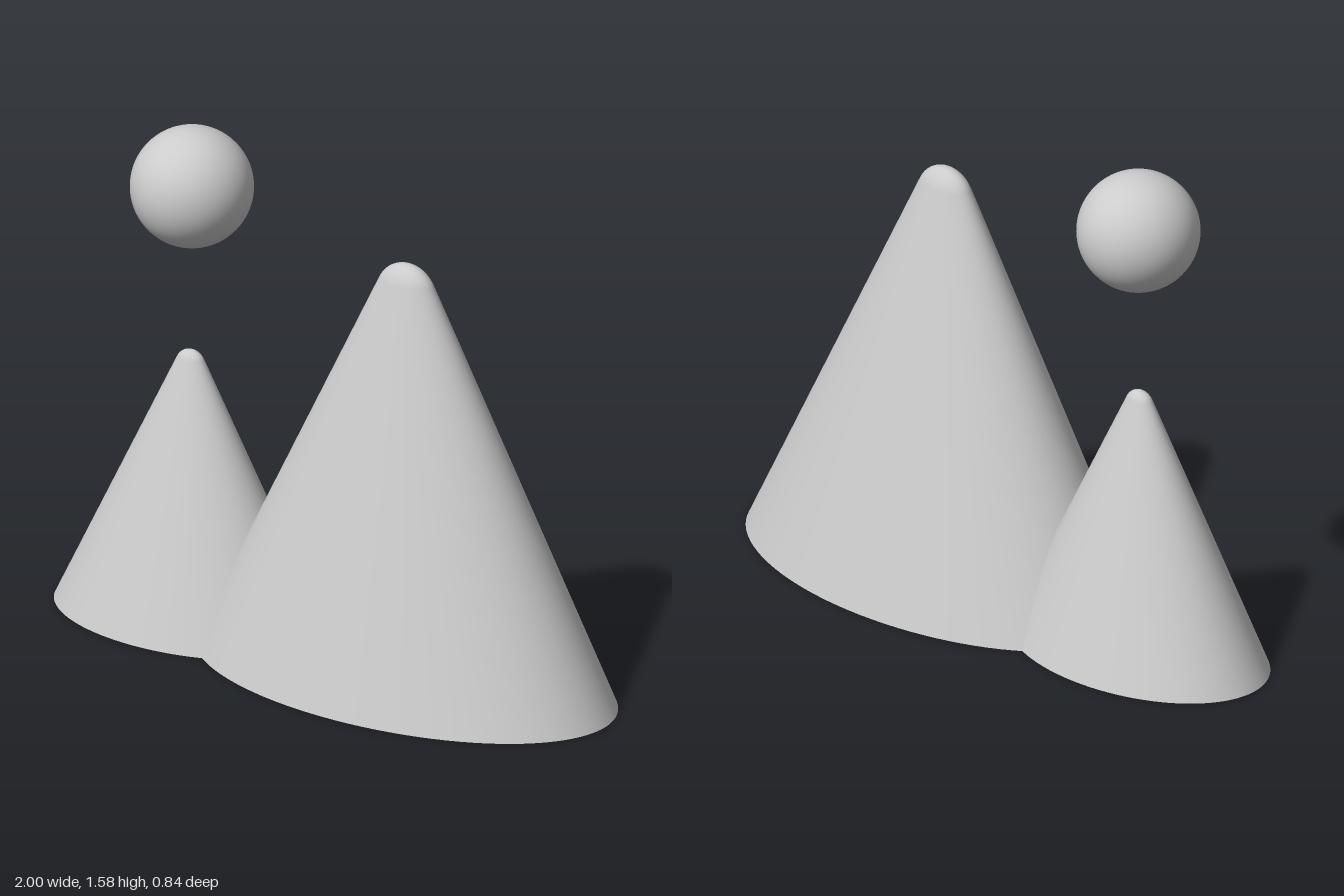
import * as THREE from 'three';

const material = new THREE.MeshStandardMaterial({ color: 0xcccccc });
const SLOPE = 0.498; // horizontal run per unit of height

function addMesh(parent, name, geometry) {
  const mesh = new THREE.Mesh(geometry, material);
  mesh.name = name;
  parent.add(mesh);
  return mesh;
}

// Elliptical cone with a rounded tip tangent to its sides
function createPeak(name, x, radiusX, radiusZ, height) {
  const peak = new THREE.Group();
  peak.name = name;
  peak.position.x = x;

  const slant = Math.atan(SLOPE);
  const tip = (radiusX / SLOPE - height) / (1 / Math.sin(slant) - 1);
  const profile = [new THREE.Vector2(radiusX, 0)];
  const steps = 12;
  for (let i = 0; i <= steps; i++) {
    const a = THREE.MathUtils.lerp(slant, Math.PI / 2, i / steps);
    const r = i === steps ? 0 : tip * Math.cos(a);
    profile.push(new THREE.Vector2(r, height - tip + tip * Math.sin(a)));
  }
  const flatten = radiusZ / radiusX;
  addMesh(peak, name + 'Slope', new THREE.LatheGeometry(profile, 96).scale(1, 1, flatten));

  // Flat underside
  const base = new THREE.CircleGeometry(radiusX, 96).rotateX(Math.PI / 2).scale(1, 1, flatten);
  addMesh(peak, name + 'Base', base);
  return peak;
}

export function createModel() {
  const model = new THREE.Group();
  model.name = 'mountainsAndSun';

  model.add(createPeak('largeMountain', 0.27, 0.73, 0.42, 1.335));
  model.add(createPeak('smallMountain', -0.54, 0.46, 0.305, 0.86));

  // Ball floating above the small mountain
  const sun = addMesh(model, 'sun', new THREE.SphereGeometry(0.187, 64, 40));
  sun.position.set(-0.535, 1.39, 0);
  return model;
}
